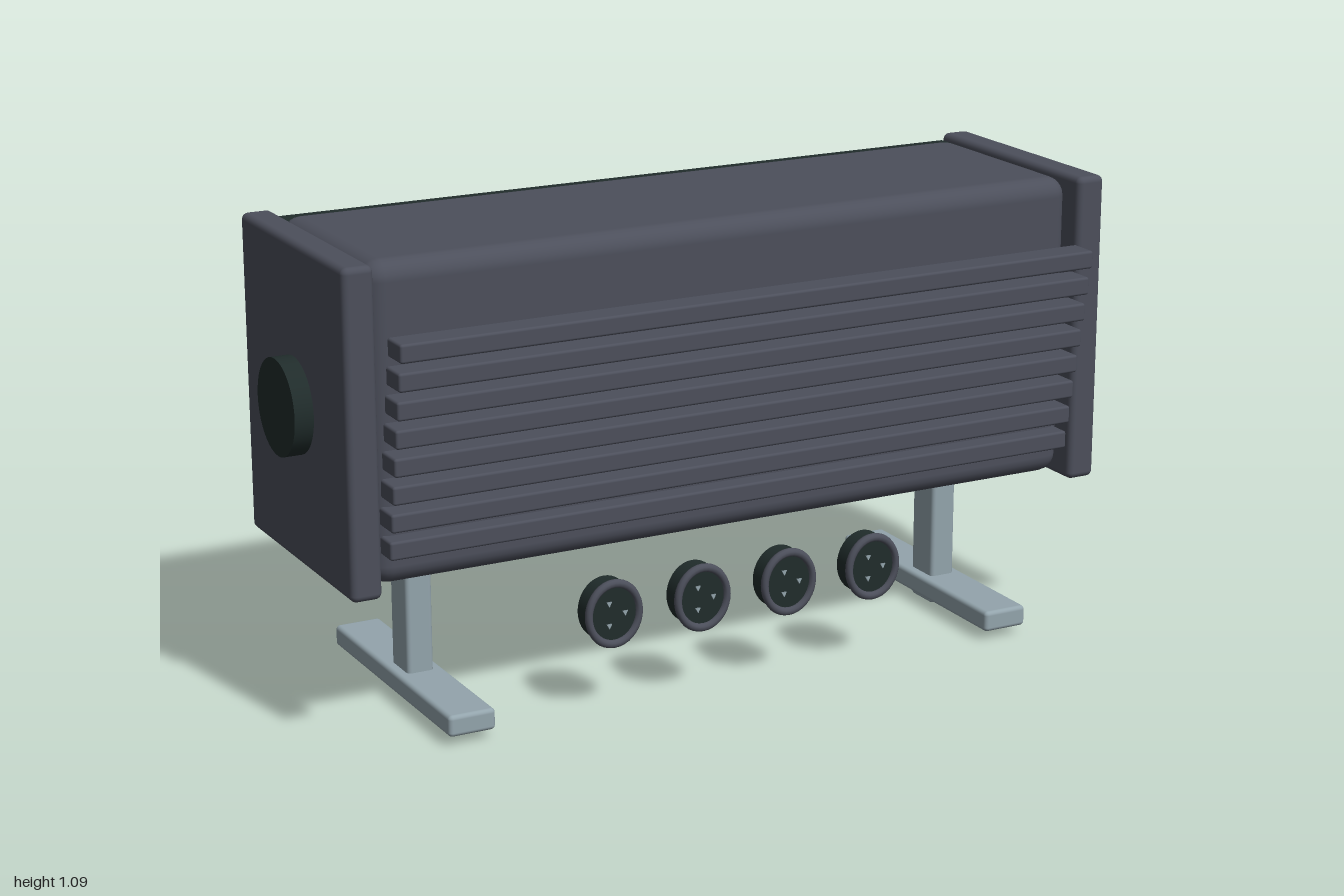
import * as THREE from 'three';
import { RoundedBoxGeometry } from 'three/addons/geometries/RoundedBoxGeometry.js';

const material = (name, color) => {
  const m = new THREE.MeshStandardMaterial({ color });
  m.name = name;
  return m;
};

export function createModel() {
  const model = new THREE.Group();
  model.name = 'slattedHousing';
  const slate = material('slate grey', 0x4c4f5b);
  const dark = material('dark green black', 0x202c2b);
  const steel = material('pale steel', 0x93a4ac);
  const tileGrey = material('tile grey', 0x8c9a9f);
  const teal = material('teal', 0x2a7888);

  // Box given by its extents [min, max] on each axis, with rounded edges
  function box(name, mat, [x0, x1], [y0, y1], [z0, z1], r = 0, parent = model) {
    const w = x1 - x0, h = y1 - y0, d = z1 - z0;
    const geo = r ? new RoundedBoxGeometry(w, h, d, 3, r) : new THREE.BoxGeometry(w, h, d);
    const mesh = new THREE.Mesh(geo, mat);
    mesh.name = name;
    mesh.position.set((x0 + x1) / 2, (y0 + y1) / 2, (z0 + z1) / 2);
    parent.add(mesh);
    return mesh;
  }

  // Main housing and rear panel
  box('housing', slate, [-0.887, 0.887], [0.37, 1.09], [-0.278, 0.24], 0.045);
  box('rearPanel', dark, [-0.885, 0.885], [0.38, 1.08], [-0.31, -0.2], 0.01);

  // End plates, knobs and feet, mirrored on both sides
  for (const s of [-1, 1]) {
    const cx = s * 0.92, px = s * 0.695;
    box('endPlate', slate, [cx - 0.036, cx + 0.036], [0.36, 1.096], [-0.315, 0.279], 0.015);

    const knob = new THREE.Mesh(new THREE.CylinderGeometry(0.11, 0.11, 0.06, 40), dark);
    knob.name = 'endKnob';
    knob.rotation.z = Math.PI / 2;
    knob.position.set(s * 0.97, 0.728, -0.018);
    model.add(knob);

    box('footPost', steel, [px - 0.032, px + 0.032], [0.004, 0.4], [-0.063, 0.029], 0.01);
    box('footBar', steel, [px - 0.056, px + 0.056], [0.025, 0.075], [-0.346, 0.309], 0.01);
  }

  // Front slats, stepping forward as they rise
  for (let i = 0; i < 8; i++) {
    const y = 0.466 + i * 0.0653, z = 0.25 + i * 0.0118;
    box('frontSlat', slate, [-0.868, 0.868], [y - 0.021, y + 0.021], [z - 0.036, z + 0.036], 0.006);
  }

  // Rear tiles in two rows, with a rail of small nubs between them
  const count = 24, pitch = 0.0719;
  for (let i = 0; i < count; i++) {
    const x = (i - (count - 1) / 2) * pitch;
    for (const y of [0.445, 0.805])
      box('rearTile', tileGrey, [x - 0.031, x + 0.031], [y, y + 0.206], [-0.346, -0.319], 0.005);
    box('railNub', tileGrey, [x - 0.027, x + 0.027], [0.716, 0.74], [-0.366, -0.35]);
  }
  box('rearRail', teal, [-0.885, 0.885], [0.7, 0.757], [-0.358, -0.326], 0.008);

  // Round sockets below the housing, slightly narrower than tall
  for (let i = 0; i < 4; i++) {
    const socket = new THREE.Group();
    socket.name = 'socket';
    socket.position.set(-0.338 + i * 0.2237, 0.237, 0);
    socket.scale.x = 0.88;

    const barrel = new THREE.Mesh(new THREE.CylinderGeometry(0.074, 0.074, 0.052, 36), dark);
    barrel.name = 'socketBarrel';
    barrel.rotation.x = Math.PI / 2;
    barrel.position.z = 0.264;
    const rim = new THREE.Mesh(new THREE.TorusGeometry(0.071, 0.01, 10, 36), slate);
    rim.name = 'socketRim';
    rim.position.z = 0.289;
    socket.add(barrel, rim);

    // Three small contacts
    for (let k = 0; k < 3; k++) {
      const a = (k * Math.PI * 2) / 3;
      const pin = new THREE.Mesh(new THREE.CylinderGeometry(0.008, 0.008, 0.006, 3), steel);
      pin.name = 'socketContact';
      pin.rotation.x = Math.PI / 2;
      pin.position.set(Math.cos(a) * 0.03, Math.sin(a) * 0.03, 0.291);
      socket.add(pin);
    }
    model.add(socket);
  }

  return model;
}
